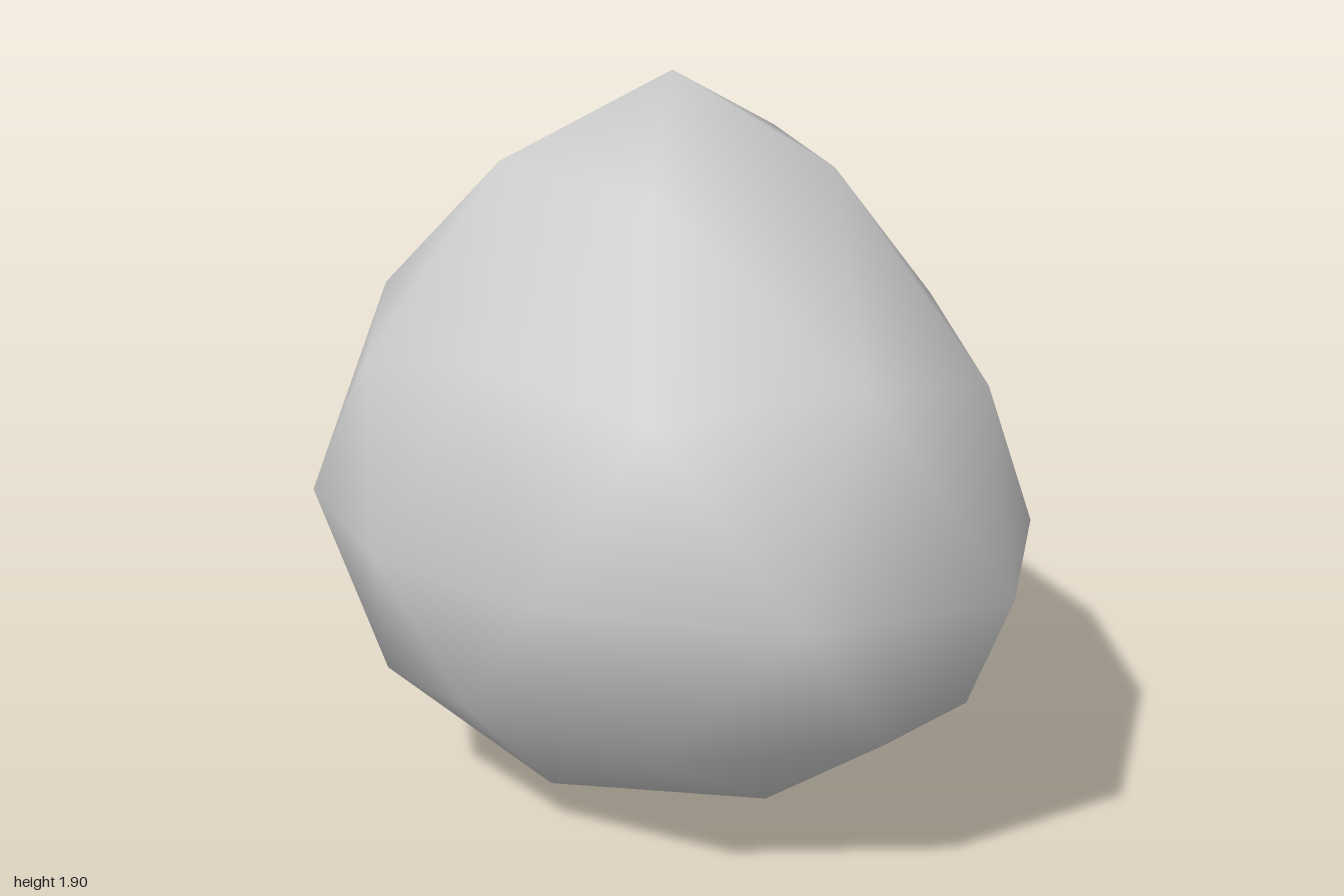
import * as THREE from 'three';
import { ConvexGeometry } from 'three/addons/geometries/ConvexGeometry.js';
import { mergeVertices } from 'three/addons/utils/BufferGeometryUtils.js';

// Directions of a once-subdivided icosahedron with its poles on the y axis
function sphereDirections() {
  const dirs = [new THREE.Vector3(0, 1, 0), new THREE.Vector3(0, -1, 0)];
  const ring = (count, y, start) => {
    const r = Math.sqrt(1 - y * y);
    for (let i = 0; i < count; i++) {
      const a = THREE.MathUtils.degToRad(start + (i * 360) / count);
      dirs.push(new THREE.Vector3(r * Math.cos(a), y, r * Math.sin(a)));
    }
  };
  for (const [y, start] of [[0.8507, 0], [0.5257, 36], [0.4472, 0]]) {
    ring(5, y, start);
    ring(5, -y, start + 36);
  }
  ring(10, 0, 18);
  return dirs;
}

// Turn a unit direction into a point on the lopsided boulder
function shapeBoulder(d) {
  const up = Math.max(d.y, 0);
  const front = Math.max(d.z, 0);
  const back = Math.max(-d.z, 0);
  // peak leans to +x, the rear leans to -x
  const x = 0.8 * d.x + 0.11 * up ** 2 + 0.02 * front ** 2 - 0.14 * back ** 2;
  // stretched into a point at the top, flatter below
  const y = 0.8 + d.y * (0.8 + 0.3 * up);
  // stretched into a nose at the front, with a sloping brow
  const z = -0.1 + d.z * (0.8 + 0.3 * front + 0.1 * back) - 0.04 * up ** 4 - 0.13 * up * front;
  return d.set(x, y, z);
}

export function createModel() {
  const group = new THREE.Group();
  group.name = 'rock';

  // Shared vertices give smooth shading over the coarse facets
  const hull = new ConvexGeometry(sphereDirections());
  hull.deleteAttribute('normal');
  const geometry = mergeVertices(hull, 1e-3);
  const position = geometry.attributes.position;
  const p = new THREE.Vector3();
  for (let i = 0; i < position.count; i++) {
    shapeBoulder(p.fromBufferAttribute(position, i).normalize());
    position.setXYZ(i, p.x, p.y, p.z);
  }
  geometry.computeVertexNormals();

  const boulder = new THREE.Mesh(geometry, new THREE.MeshStandardMaterial({ color: 0xcccccc }));
  boulder.name = 'boulder';
  group.add(boulder);
  return group;
}
